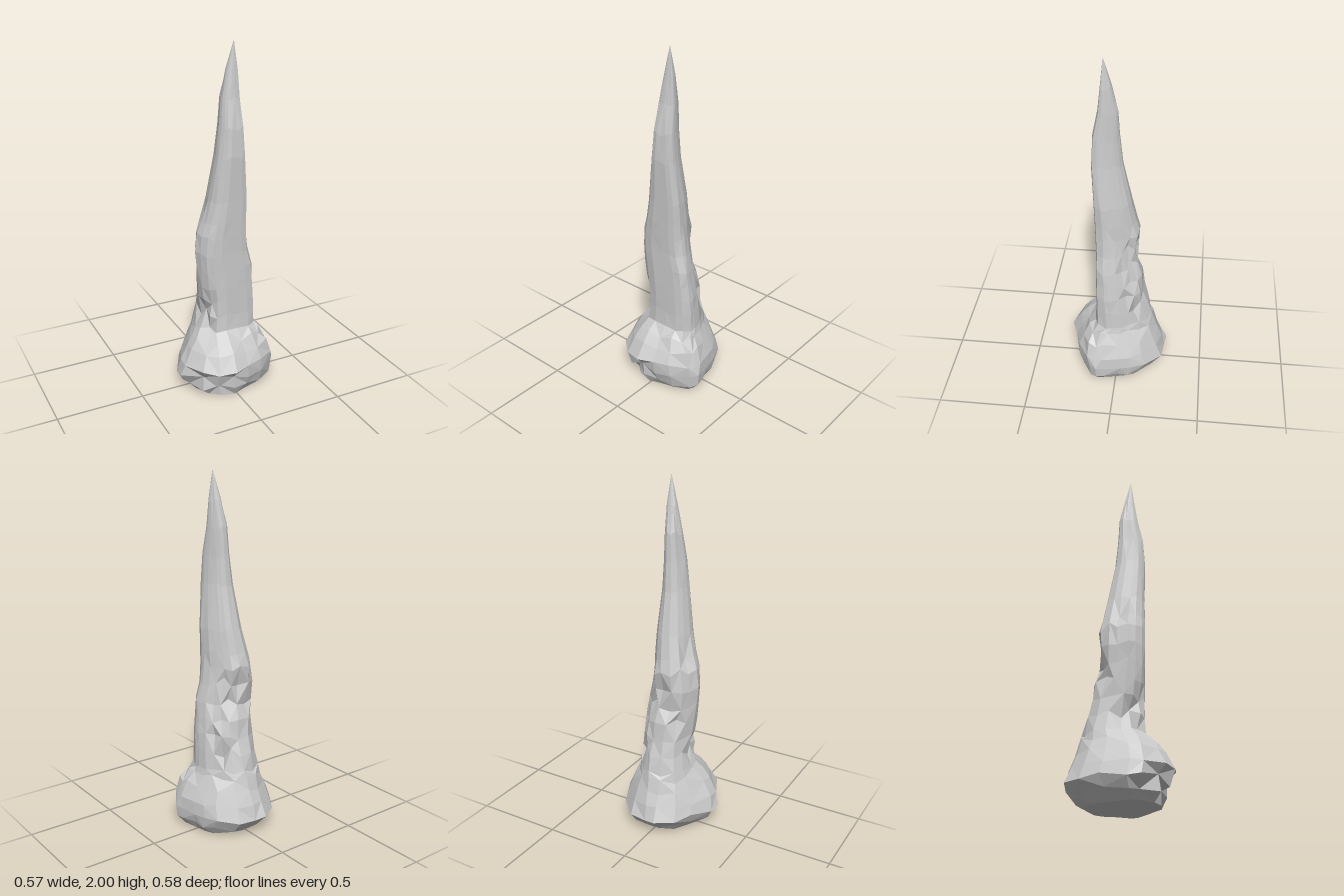
import * as THREE from 'three';

// Outlines seen from above, scaled to -1..1, from the back round by +x to the front
const BASE = [[.03, -1], [.38, -.92], [.72, -.62], [.83, -.35], [.9, -.1], [.97, .25], [1, .43], [.93, .58], [.55, .8],
  [.2, .9], [-.14, 1], [-.5, .92], [-.77, .7], [-1, .25], [-.98, 0], [-.77, -.47], [-.55, -.78], [-.2, -1]];
const SHAFT = [[.1, -1], [.4, -.85], [.6, -.6], [.78, -.3], [.92, 0], [1, .35], [1, .55], [.86, .86], [.6, .93],
  [.2, .97], [-.25, 1], [-.6, .93], [-.8, .75], [-.95, .45], [-1, .1], [-.85, -.35], [-.7, -.7], [-.35, -.97]];

// Sections: height, min x, max x, min z, max z
const RINGS = [
  [0.01, -.2, .23, -.18, .21], [0.05, -.25, .265, -.225, .24], [0.115, -.28, .278, -.284, .27],
  [0.19, -.268, .268, -.255, .28], [0.27, -.225, .235, -.225, .235], [0.33, -.185, .195, -.205, .185],
  [0.37, -.16, .18, -.195, .135], [0.47, -.145, .176, -.175, .13], [0.56, -.14, .17, -.155, .13],
  [0.65, -.15, .163, -.135, .13], [0.75, -.158, .15, -.11, .13], [0.85, -.166, .127, -.112, .13],
  [0.95, -.153, .115, -.115, .133], [1.03, -.132, .112, -.098, .135], [1.15, -.103, .11, -.07, .137],
  [1.4, -.066, .085, -.022, .146], [1.55, -.048, .075, -.006, .138], [1.7, -.032, .066, .003, .108],
  [1.84, -.005, .058, .032, .092]];

// Chips: section, outline point, inward share, vertical shift
const CHIPS = [
  [1, 11, .1, .02], [2, 10, .13, .02], [2, 11, .06, -.02], [2, 12, .12, .03], [1, 13, .08, 0],
  [6, 12, .16, .01], [7, 13, .22, .03], [8, 12, .08, -.02], [7, 14, .14, -.02],
  [7, 1, .14, .03], [7, 2, .24, -.03], [8, 3, .16, .02], [9, 2, .12, 0], [8, 0, .1, -.03],
  [10, 1, .2, .03], [10, 3, .1, -.02], [11, 0, .22, -.02], [11, 2, .12, .03], [12, 1, -.06, 0],
  [9, 16, .16, .02], [10, 17, .12, -.03], [12, 16, .1, .02], [13, 15, .12, 0]];

// Rough rock lofted through the sections, closed below and drawn to a point
function rockGeometry() {
  let seed = 11;
  const noise = () => ((seed = (seed * 16807) % 2147483647) / 2147483647) * 2 - 1;
  const n = BASE.length;
  const pos = [];
  const index = [];

  RINGS.forEach(([y, x0, x1, z0, z1], i) => {
    const blend = THREE.MathUtils.smoothstep(y, .2, .42);
    const cx = (x0 + x1) / 2, cz = (z0 + z1) / 2;
    for (let j = 0; j < n; j++) {
      const chip = CHIPS.find((c) => c[0] === i && c[1] === j) || [0, 0, 0, 0];
      const u = THREE.MathUtils.lerp(BASE[j][0], SHAFT[j][0], blend);
      const v = THREE.MathUtils.lerp(BASE[j][1], SHAFT[j][1], blend);
      const front = j > 6 && j < 12 && i > 6;
      const s = 1 - chip[2] + noise() * (front ? .008 : .025);
      const lift = i === 0 ? Math.abs(noise()) * .008 - .008 : chip[3] + noise() * .014;
      pos.push(cx + u * s * (x1 - x0) / 2, y + lift, cz + v * s * (z1 - z0) / 2);
    }
  });
  const tip = pos.length / 3;
  pos.push(.036, 2, .075);
  pos.push(0, .015, 0);

  for (let j = 0; j < n; j++) {
    const k = (j + 1) % n;
    index.push(tip + 1, j, k);
    for (let i = 0; i < RINGS.length - 1; i++) {
      const a = i * n + j, b = i * n + k, c = a + n, d = b + n;
      // Alternate the diagonals for uneven facets
      if ((i + j) % 2) index.push(a, c, b, b, c, d);
      else index.push(a, d, b, a, c, d);
    }
    const last = (RINGS.length - 1) * n;
    index.push(last + j, tip, last + k);
  }

  const g = new THREE.BufferGeometry();
  g.setAttribute('position', new THREE.Float32BufferAttribute(pos, 3));
  g.setIndex(index);
  const flat = g.toNonIndexed();
  flat.computeVertexNormals();
  return flat;
}

export function createModel() {
  const group = new THREE.Group();
  group.name = 'stalagmite';
  const rock = new THREE.Mesh(rockGeometry(), new THREE.MeshStandardMaterial({ color: 0xcccccc, flatShading: true }));
  rock.name = 'rockSpire';
  group.add(rock);
  return group;
}
